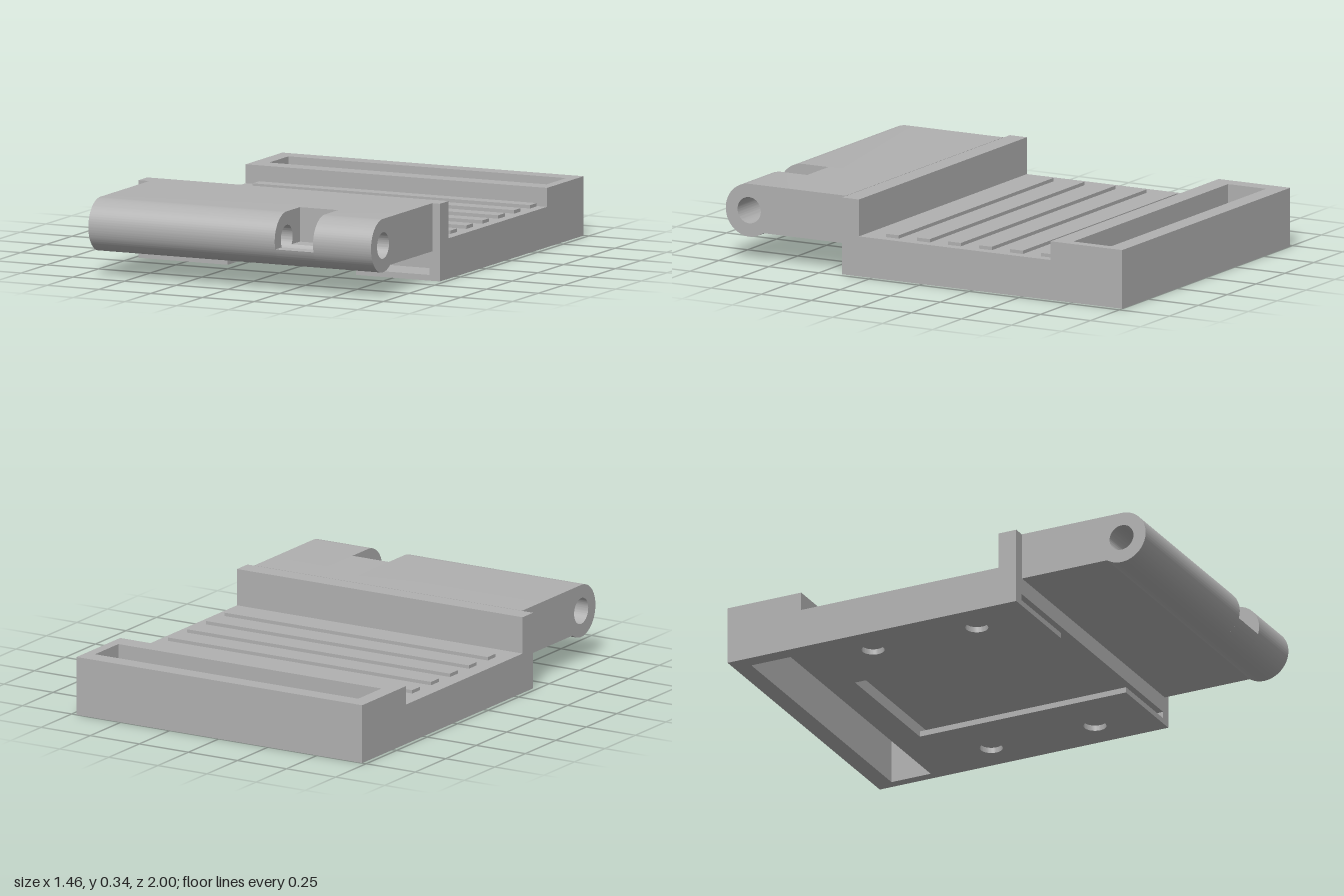
import * as THREE from 'three';
import { toCreasedNormals } from 'three/addons/utils/BufferGeometryUtils.js';

const grey = new THREE.MeshStandardMaterial({ color: 0xb0b0b0 });
grey.name = 'grey plastic';

// Body limits
const X0 = -0.73, X1 = 0.725, BACK = -1, FRONT = 0.4;
// Hinge barrel centre, radius and bore
const HZ = 0.883, HY = 0.224, HR = 0.117, BORE = 0.058;

export function createModel() {
  const model = new THREE.Group();

  function add(name, geometry) {
    const mesh = new THREE.Mesh(geometry, grey);
    mesh.name = name;
    model.add(mesh);
    return mesh;
  }

  function box(name, x0, x1, y0, y1, z0, z1) {
    add(name, new THREE.BoxGeometry(x1 - x0, y1 - y0, z1 - z0))
      .position.set((x0 + x1) / 2, (y0 + y1) / 2, (z0 + z1) / 2);
  }

  // Outline from [x, z] points, drawn with z pointing down the page
  const plan = (points) => points.map(([x, z]) => new THREE.Vector2(x, -z));
  const rect = (x0, x1, z0, z1) => [[x0, z0], [x0, z1], [x1, z1], [x1, z0]];
  const strapSlot = () => new THREE.Path(plan(rect(-0.66, 0.68, -0.92, -0.73)));

  // Horizontal slab with the strap slot cut through it
  function layer(name, points, y0, y1, holes = []) {
    const shape = new THREE.Shape(plan(points));
    shape.holes.push(strapSlot(), ...holes);
    const g = new THREE.ExtrudeGeometry(shape, { depth: y1 - y0, bevelEnabled: false, curveSegments: 24 });
    g.rotateX(-Math.PI / 2).translate(0, y0, 0);
    add(name, toCreasedNormals(g, 0.6));
  }

  // Slab outline with a bay open at the front edge
  const withBay = (x0, x1, z) => [
    [X0, BACK], [X0, FRONT], [x0, FRONT], [x0, z], [x1, z], [x1, FRONT], [X1, FRONT], [X1, BACK],
  ];

  // Bottom lip with four round holes, then the wide slide-in slot above it
  const roundHoles = [];
  for (const x of [-0.565, 0.565]) {
    for (const z of [-0.378, 0.125]) {
      roundHoles.push(new THREE.Path().absarc(x, -z, 0.05, 0, Math.PI * 2));
    }
  }
  layer('bottomLip', withBay(-0.3, 0.32, -0.6), 0, 0.025, roundHoles);
  layer('slideSlotLayer', withBay(-0.68, 0.675, -0.6), 0.025, 0.055);
  layer('deck', rect(X0, X1, BACK, FRONT), 0.055, 0.177);
  layer('rearFrame', rect(X0, X1, BACK, -0.643), 0.177, 0.26);
  box('frontWall', X0, X1, 0.177, 0.34, 0.315, FRONT);

  // Grip ribs across the deck
  for (let i = 0; i < 6; i++) {
    const z = 0.174 - i * 0.155;
    box('gripRib' + (i + 1), -0.66, 0.68, 0.177, 0.192, z - 0.032, z + 0.032);
  }

  // Side profile in (z, y), pushed along x
  function hingePiece(name, shape, x0, x1) {
    const g = new THREE.ExtrudeGeometry(shape, { depth: x1 - x0, bevelEnabled: false, curveSegments: 40 });
    g.rotateY(-Math.PI / 2).translate(x1, 0, 0);
    add(name, toCreasedNormals(g, 0.4));
  }

  const UNDER = 0.13, FLOOR = 0.19;
  const under = HZ - Math.sqrt(HR ** 2 - (HY - UNDER) ** 2);
  const startAngle = Math.atan2(UNDER - HY, under - HZ);
  const hingeStart = () => new THREE.Shape()
    .moveTo(FRONT, 0.341).lineTo(FRONT, UNDER).lineTo(under, UNDER);

  // Hinge plate with its bored barrel, on both sides of the notch
  const full = hingeStart();
  full.absarc(HZ, HY, HR, startAngle, Math.PI / 2, false);
  full.holes.push(new THREE.Path().absarc(HZ, HY, BORE, 0, Math.PI * 2));
  hingePiece('hingePlateRight', full, -0.675, 0.225);
  hingePiece('hingePlateLeft', full, 0.41, 0.69);

  // Notch: the bore is left as an open trough in its floor
  const notch = hingeStart();
  const troughAngle = Math.asin((FLOOR - HY) / BORE);
  notch.absarc(HZ, HY, HR, startAngle, Math.asin((FLOOR - HY) / HR), false);
  notch.absarc(HZ, HY, BORE, troughAngle, -Math.PI - troughAngle, true);
  notch.lineTo(0.755, FLOOR).lineTo(0.755, 0.341);
  hingePiece('hingeNotch', notch, 0.225, 0.41);

  return model;
}
